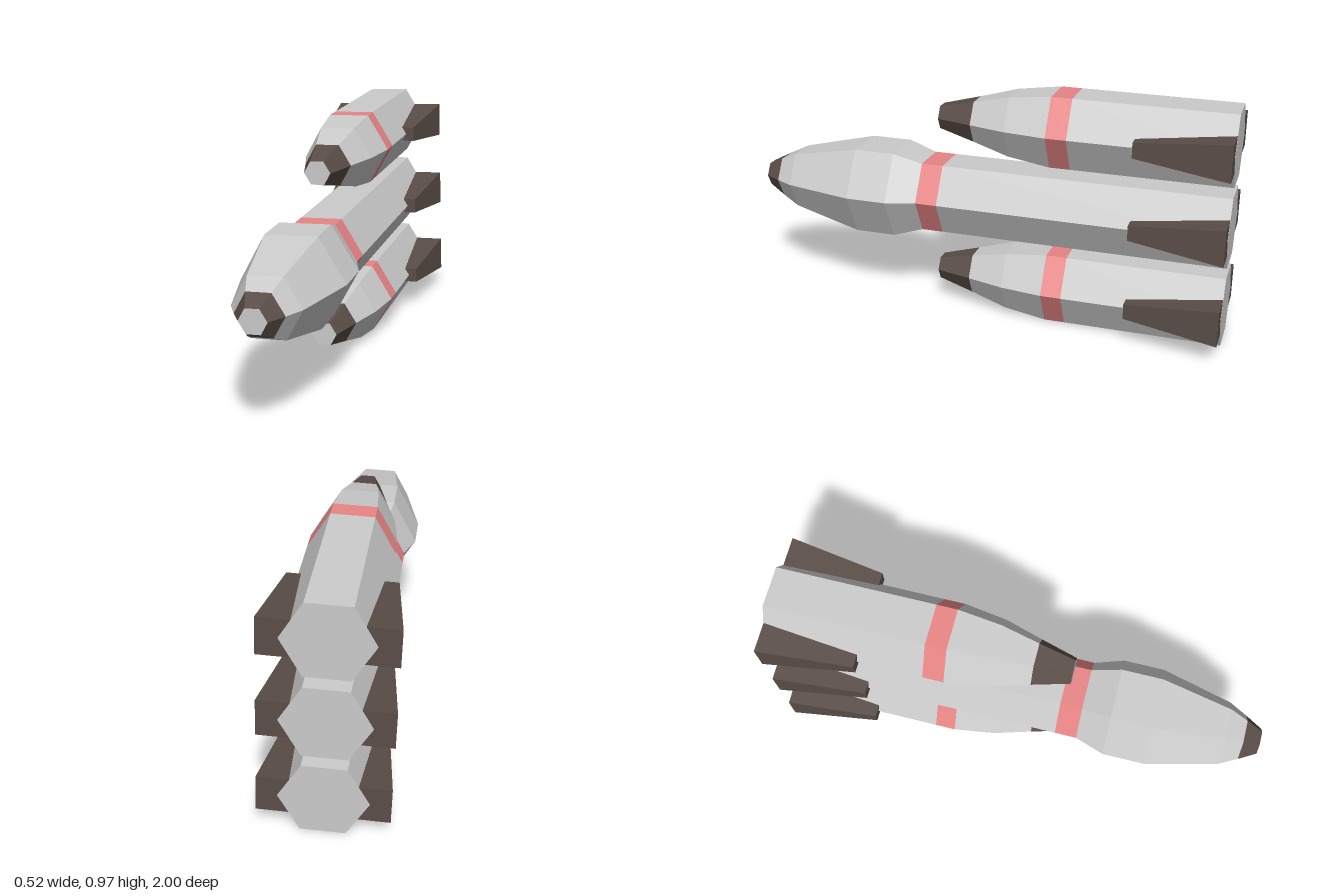
import * as THREE from 'three';

const makeMaterial = (color) => new THREE.MeshStandardMaterial({ color, flatShading: true });

export function createModel() {
  const grey = makeMaterial(0xcccccc);
  const brown = makeMaterial(0x5a4d47);
  const red = makeMaterial(0xe88585);

  function add(parent, name, geometry, material) {
    const mesh = new THREE.Mesh(geometry, material);
    mesh.name = name;
    parent.add(mesh);
    return mesh;
  }

  // Tapered prism along z between two stations, front (larger z) first
  function taper(z1, r1, z2, r2, sides, open) {
    return new THREE.CylinderGeometry(r1, r2, z1 - z2, sides, 1, open, Math.PI / sides)
      .rotateX(Math.PI / 2)
      .translate(0, 0, (z1 + z2) / 2);
  }

  // Hexagonal rocket; stations are [z, radius, material of the section behind, name]
  function rocket(name, stations) {
    const g = new THREE.Group();
    g.name = name;
    for (let i = 0; i < stations.length - 1; i++) {
      const [z1, r1, material, part] = stations[i];
      const [z2, r2] = stations[i + 1];
      add(g, part, taper(z1, r1, z2, r2, 6, true), material);
    }
    // Flat ends
    const [zFront, rFront] = stations[0];
    const [zBack, rBack] = stations[stations.length - 1];
    add(g, 'noseCap', new THREE.CircleGeometry(rFront, 6), grey).position.z = zFront;
    const tail = add(g, 'tailCap', new THREE.CircleGeometry(rBack, 6), grey);
    tail.rotation.y = Math.PI;
    tail.position.z = zBack;
    // Square, flaring side fins, ending just ahead of the tail cap
    for (const side of [1, -1]) {
      const fin = add(g, side > 0 ? 'leftFin' : 'rightFin',
        taper(-0.62, 0.031 * Math.SQRT2, -0.999, 0.074 * Math.SQRT2, 4, false), brown);
      fin.position.x = side * 0.172;
    }
    return g;
  }

  const model = new THREE.Group();
  model.name = 'rocketCluster';
  const cluster = new THREE.Group();
  cluster.name = 'rockets';
  cluster.position.y = 0.486;
  cluster.rotation.z = 0.038; // slight roll of the whole cluster
  model.add(cluster);

  // Long core with a bulged forward section
  cluster.add(rocket('coreRocket', [
    [1, 0.054, brown, 'noseTip'],
    [0.93, 0.095, grey, 'noseCone'],
    [0.855, 0.135, grey, 'noseShoulder'],
    [0.56, 0.208, grey, 'bulge'],
    [0.39, 0.208, grey, 'bulgeTaper'],
    [0.27, 0.168, red, 'stripe'],
    [0.18, 0.168, grey, 'body'],
    [-1, 0.168],
  ]));

  // Shorter boosters above and below
  for (const side of [1, -1]) {
    const booster = rocket(side > 0 ? 'upperBooster' : 'lowerBooster', [
      [0.21, 0.054, brown, 'noseTip'],
      [0.06, 0.096, grey, 'noseCone'],
      [-0.095, 0.142, grey, 'noseShoulder'],
      [-0.27, 0.168, red, 'stripe'],
      [-0.355, 0.168, grey, 'body'],
      [-1, 0.168],
    ]);
    booster.position.y = side * 0.336;
    cluster.add(booster);
  }

  return model;
}
